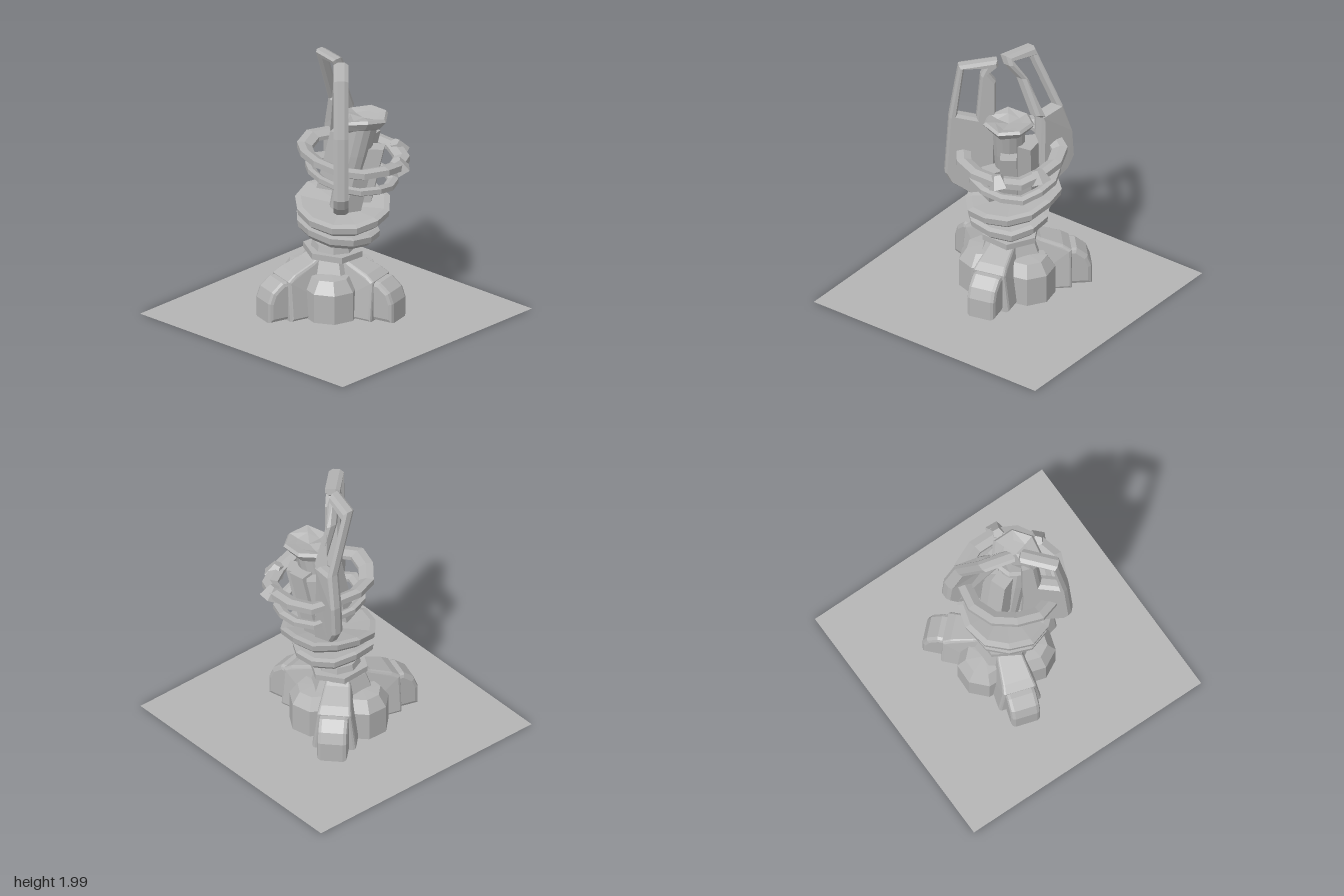
import * as THREE from 'three';

const stone = new THREE.MeshStandardMaterial({ color: 0xb4b4b4 });
stone.name = 'grey stone';
stone.flatShading = true;
stone.side = THREE.DoubleSide;

function mesh(name, geometry, parent) {
  const m = new THREE.Mesh(geometry, stone);
  m.name = name;
  parent.add(m);
  return m;
}

// Moves every vertex by a rule
function warp(geometry, rule) {
  const p = geometry.attributes.position, v = new THREE.Vector3();
  for (let i = 0; i < p.count; i++) {
    v.fromBufferAttribute(p, i);
    rule(v);
    p.setXYZ(i, v.x, v.y, v.z);
  }
  geometry.computeVertexNormals();
  return geometry;
}

const vecs = pts => pts.map(([x, y]) => new THREE.Vector2(x, y));
const lathe = (pts, sides) => new THREE.LatheGeometry(vecs(pts), sides);

// The core leans to the back and to +x as it rises
const lean = v => {
  v.x += -0.04 + 0.19 * (v.y - 0.5);
  v.z += -0.12 * (v.y - 0.5);
};

// Tilted disc or ring with a slightly uneven rim
function hoop(name, profile, sides, [cx, cy, cz], slopeX, slopeZ, wobble, parent) {
  mesh(name, warp(lathe(profile, sides), v => {
    const a = Math.atan2(v.z, v.x), r = Math.hypot(v.x, v.z);
    const k = 1 + wobble * Math.sin(5 * a);
    v.x *= k;
    v.z *= k;
    v.y += cy + slopeX * v.x + slopeZ * v.z + wobble * r * 1.4 * Math.sin(4 * a + 1);
    v.x += cx;
    v.z += cz;
  }), parent);
}

// Upright plate cut from an outline with one window
function plate(outline, hole, depth, bevel) {
  const shape = new THREE.Shape(vecs(outline));
  shape.holes.push(new THREE.Path(vecs(hole)));
  const g = new THREE.ExtrudeGeometry(shape, {
    depth, bevelEnabled: true, bevelSize: 0.015, bevelOffset: -0.015,
    bevelThickness: bevel, bevelSegments: 1,
  });
  return g.translate(0, 0, -depth / 2);
}

// Side profile (radius, height) given a width, pointing along +x
function wedge(profile, width, bevel) {
  const g = new THREE.ExtrudeGeometry(new THREE.Shape(vecs(profile)), {
    depth: width - 2 * bevel, bevelEnabled: true, bevelSize: bevel, bevelOffset: -bevel,
    bevelThickness: bevel, bevelSegments: 2,
  });
  return g.translate(0, 0, bevel - width / 2);
}

export function createModel() {
  const model = new THREE.Group();
  model.name = 'clawedPedestal';

  const ground = mesh('groundSheet', new THREE.PlaneGeometry(2, 2), model);
  ground.rotation.x = -Math.PI / 2;

  // Base: three feet on sloping arms, with faceted blocks between
  const base = new THREE.Group();
  base.name = 'base';
  base.position.set(-0.05, 0, 0);
  model.add(base);
  for (let i = 0; i < 3; i++) {
    const leg = new THREE.Group();
    leg.name = 'leg';
    leg.rotation.y = -THREE.MathUtils.degToRad(107 + 120 * i);
    base.add(leg);
    mesh('foot', wedge([[0.3, 0.04], [0.57, 0.04], [0.57, 0.19], [0.54, 0.27], [0.46, 0.335], [0.3, 0.34]],
      0.22, 0.03), leg);
    mesh('arm', warp(wedge([[0, 0.04], [0.42, 0.04], [0.42, 0.34], [0.36, 0.38], [0.2, 0.44], [0.13, 0.48], [0, 0.48]],
      0.32, 0.02), v => { v.z *= 1 - 0.5 * Math.max(0, v.y - 0.22) / 0.26; }), leg);
    const block = mesh('block', lathe([[0, 0.04], [0.2, 0.04], [0.2, 0.26], [0.14, 0.35], [0, 0.36]], 8), leg);
    block.rotation.y = Math.PI / 8;
    block.position.set(0.19 * Math.cos(Math.PI / 3), 0, -0.19 * Math.sin(Math.PI / 3));
  }
  mesh('hub', new THREE.CylinderGeometry(0.19, 0.3, 0.26, 6).translate(0, 0.33, 0), base);
  hoop('lowerCollar', [[0, -0.02], [0.22, -0.02], [0.22, 0.025], [0, 0.025]], 6,
    [-0.03, 0.475, 0], -0.06, 0.04, 0, model);
  hoop('upperCollar', [[0, -0.02], [0.16, -0.02], [0.15, 0.03], [0, 0.03]], 8,
    [-0.03, 0.52, 0], -0.06, 0.04, 0, model);

  // Leaning column with its flared cap
  mesh('column', warp(lathe([[0, 0.5], [0.1, 0.5], [0.085, 0.72], [0.09, 0.85], [0.115, 1.25], [0.12, 1.47], [0, 1.47]],
    14), lean), model);
  mesh('cap', warp(lathe([[0.1, 1.44], [0.15, 1.47], [0.19, 1.53], [0.17, 1.55], [0.1, 1.535], [0, 1.52]], 7), v => {
    v.y += 0.015 * Math.sin(3 * Math.atan2(v.z, v.x));
    lean(v);
  }), model);

  // Upright fins packed around the column
  [[-100, 0.86, 1.36], [-35, 0.88, 1.3], [25, 0.85, 1.12], [160, 0.95, 1.4], [220, 0.9, 1.34]].forEach(([deg, y0, y1]) => {
    const fin = new THREE.BoxGeometry(0.13, y1 - y0, 0.12);
    fin.translate(0.14, (y0 + y1) / 2, 0).rotateY(-THREE.MathUtils.degToRad(deg));
    mesh('fin', warp(fin, lean), model);
  });

  // Two solid discs at the waist
  const disc = (r, h) => [[0, -h * 0.5], [r * 0.86, -h * 0.55], [r * 0.98, -h * 0.1], [r, h * 0.5], [r * 0.88, h * 0.6], [0, h * 0.2]];
  hoop('lowerDisc', disc(0.305, 0.08), 11, [0.005, 0.655, -0.01], -0.15, 0.09, 0.02, model);
  hoop('upperDisc', disc(0.35, 0.08), 12, [0.015, 0.8, -0.055], -0.15, -0.12, 0.02, model);

  // Two uneven rings around the claws
  const band = (r, w, h) => [[r - w, -h * 0.2], [r - w * 0.4, -h * 0.5], [r, -h * 0.2], [r, h * 0.4],
    [r - w * 0.5, h * 0.5], [r - w, h * 0.2], [r - w, -h * 0.2]];
  hoop('lowerRing', band(0.335, 0.075, 0.06), 13, [0.06, 1.06, -0.095], -0.15, 0.12, 0.025, model);
  hoop('upperRing', band(0.405, 0.11, 0.075), 13, [0.085, 1.23, -0.085], -0.11, 0.07, 0.025, model);
  // Broken pieces on the back of the upper ring
  [[0.41, 1.19, -0.22, 0.5], [0.2, 1.21, -0.43, 1.2]].forEach(([x, y, z, turn]) => {
    const shard = mesh('ringShard', new THREE.CylinderGeometry(0.04, 0.08, 0.1, 5), model);
    shard.position.set(x, y, z);
    shard.rotation.set(0.3, turn, 0.2);
  });

  // Front claw, running outward between +x and +z
  const front = mesh('frontClaw', plate(
    [[0.05, 1.98], [0.33, 1.95], [0.4, 1.52], [0.43, 1.05], [0.39, 0.97], [0.25, 0.87], [0.06, 0.88],
      [0.07, 1.2], [0.06, 1.5], [0.06, 1.8], [0.11, 1.87], [0.04, 1.93]],
    [[0.14, 1.92], [0.17, 1.86], [0.2, 1.5], [0.34, 1.54], [0.29, 1.92]], 0.05, 0.03), model);
  front.position.set(0.05, 0, 0);
  front.rotation.y = -THREE.MathUtils.degToRad(47);

  // Rear claw, leaning back from its tip
  mesh('rearClaw', warp(plate(
    [[0.035, 1.99], [-0.21, 1.985], [-0.275, 1.54], [-0.345, 1.3], [-0.36, 1.08], [-0.3, 0.98], [-0.07, 0.87],
      [-0.07, 1.1], [-0.08, 1.5], [-0.04, 1.52], [-0.03, 1.8], [0.035, 1.92]],
    [[-0.01, 1.94], [-0.18, 1.92], [-0.235, 1.54], [-0.09, 1.52], [-0.075, 1.8]], 0.05, 0.025), v => {
    v.z += -0.42 * Math.min(1.99 - v.y, 0.49) + 0.25 * (v.x + 0.03);
  }), model);

  return model;
}
